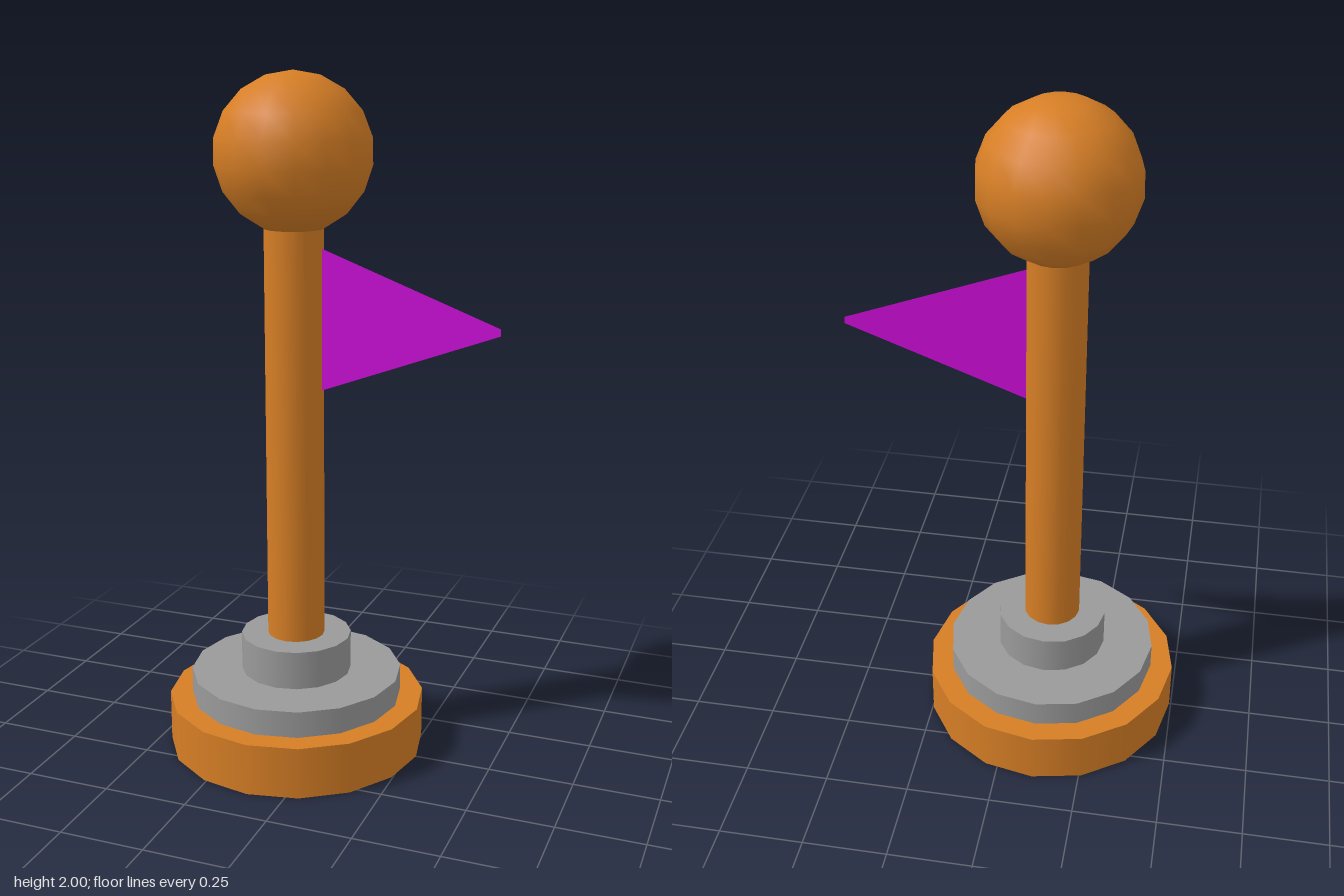
import * as THREE from 'three';

const SIDES = 16;
const AXIS_X = -0.11;

function material(name, color, side = THREE.FrontSide) {
  const m = new THREE.MeshStandardMaterial({ color, side });
  m.name = name;
  return m;
}

export function createModel() {
  const group = new THREE.Group();
  group.name = 'flagPost';
  const orange = material('orange', 0xd67e25, THREE.DoubleSide);
  const grey = material('grey', 0x9a9a9a, THREE.DoubleSide);
  const magenta = material('magenta', 0xcc0dd8, THREE.DoubleSide);

  function add(name, geometry, mat, x = 0, y = 0) {
    const mesh = new THREE.Mesh(geometry, mat);
    mesh.name = name;
    mesh.position.set(x, y, 0);
    group.add(mesh);
  }

  // Hollow step: an open wall with a flat ring on top
  function step(name, radius, inner, y0, y1, mat) {
    const wall = new THREE.CylinderGeometry(radius, radius, y1 - y0, SIDES, 1, true);
    add(name + 'Wall', wall, mat, AXIS_X, (y0 + y1) / 2);
    const top = inner > 0
      ? new THREE.RingGeometry(inner, radius, SIDES)
      : new THREE.CircleGeometry(radius, SIDES);
    top.rotateX(-Math.PI / 2);
    add(name + 'Top', top, mat, AXIS_X, y1);
  }

  // Stepped foot, open underneath
  step('base', 0.385, 0.317, 0, 0.154, orange);
  step('collar', 0.317, 0.165, 0.154, 0.233, grey);
  step('hub', 0.165, 0, 0.233, 0.348, grey);

  // Pole and ball; the ball stops where it meets the pole
  add('pole', new THREE.CylinderGeometry(0.085, 0.085, 1.224, SIDES, 1, true), orange, AXIS_X, 0.96);
  add('ball', new THREE.SphereGeometry(0.225, SIDES, SIDES / 2, 0, Math.PI * 2, 0, Math.PI * 7 / 8),
    orange, AXIS_X, 1.775);

  // Paper-thin pennant with a blunt tip
  const pennant = new THREE.Shape([
    new THREE.Vector2(-0.03, 1.103),
    new THREE.Vector2(0.495, 1.3),
    new THREE.Vector2(0.495, 1.32),
    new THREE.Vector2(-0.03, 1.515),
  ]);
  add('pennant', new THREE.ShapeGeometry(pennant), magenta);

  return group;
}
